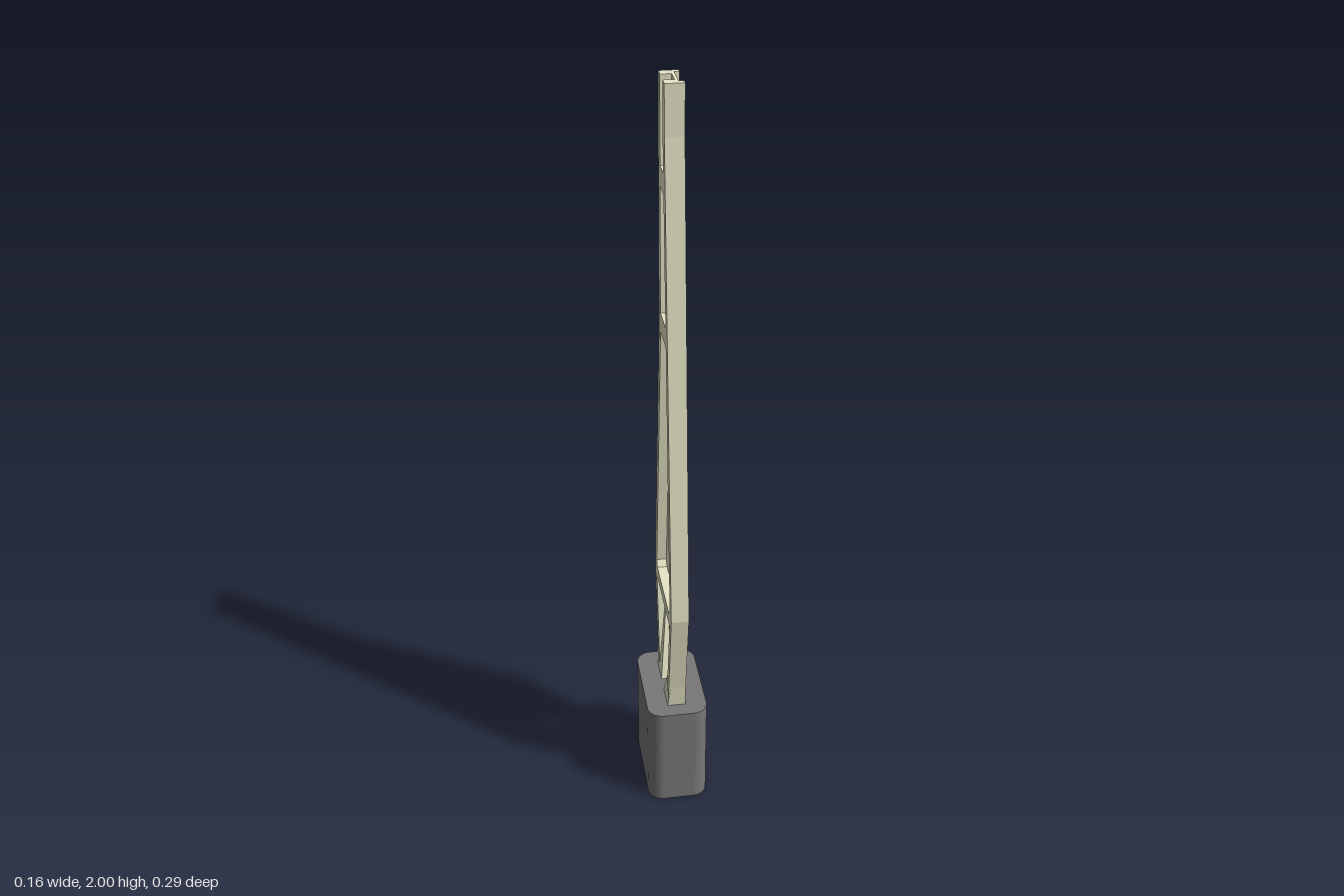
import * as THREE from 'three';

export function createModel() {
  const group = new THREE.Group();
  const cream = new THREE.MeshStandardMaterial({ color: 0xe6e6c8 });
  const grey = new THREE.MeshStandardMaterial({ color: 0x777777 });

  const add = (name, geometry, material = cream) => {
    const mesh = new THREE.Mesh(geometry, material);
    mesh.name = name;
    group.add(mesh);
  };

  // Side profile given as [z, y] points, extruded across x from x0 to x1
  const plate = (name, points, x0, x1) => {
    let pts = points.map(([z, y]) => new THREE.Vector2(z, y));
    if (THREE.ShapeUtils.isClockWise(pts)) pts = pts.reverse();
    const geo = new THREE.ExtrudeGeometry(new THREE.Shape(pts), { depth: x1 - x0, bevelEnabled: false });
    geo.rotateY(-Math.PI / 2).translate(x1, 0, 0);
    add(name, geo);
  };

  // Outer edges of the blade, bottom to top
  const front = [[0.09, 0.28], [0.094, 0.33], [0.145, 0.62], [0.045, 1.88], [0.045, 2]];
  const back = [[-0.097, 0.28], [-0.098, 0.33], [-0.145, 0.62], [-0.053, 1.37], [-0.05, 2]];
  const half = 0.023;

  // Edge flanges: slim on the +x side, wider on the -x side
  for (const [name, edge, s] of [['frontFlange', front, -1], ['backFlange', back, 1]]) {
    const band = (w) => [...edge, ...edge.map(([z, y]) => [z + s * w, y]).reverse()];
    plate(name, band(0.015), 0.005, half);
    plate(name + 'Inner', band(0.027), -half, 0.005);
  }

  // Thin web with the slot between the legs
  const slot = [[-0.011, 0.28], [-0.011, 0.53], [0.013, 0.53], [0.013, 0.28]];
  const inset = (edge, d) => edge.map(([z, y]) => [z + d, y]);
  plate('web', [...inset(front, -0.005), ...inset(back, 0.005).reverse(), ...slot], 0.003, 0.011);

  // Cross ribs in the open side, with small fillets where they meet the flanges
  plate('crossBar', [[0.13, 0.585], [0.13, 0.64], [0.118, 0.642], [0.105, 0.62], [-0.105, 0.62],
    [-0.118, 0.642], [-0.13, 0.64], [-0.13, 0.585]], -half, 0.005);
  plate('middleRib', [[0.06, 1.37], [0.06, 1.42], [-0.04, 1.42], [-0.04, 1.37]], -half, 0.005);
  plate('upperRib', [[0.04, 1.74], [0.04, 1.79], [-0.04, 1.79], [-0.04, 1.74]], -half, 0.005);

  // Tapered feet swelling from the web down into the base
  for (const s of [1, -1]) {
    const geo = new THREE.BoxGeometry(1, 1, 1);
    const p = geo.attributes.position;
    for (let i = 0; i < p.count; i++) {
      const right = p.getX(i) > 0, top = p.getY(i) > 0;
      const outer = p.getZ(i) * s > 0;
      const x = top ? (right ? 0.01 : 0.004) : (right ? 0.025 : -0.027);
      const z = top ? (outer ? 0.125 : 0.105) : (outer ? 0.09 : 0.016);
      p.setXYZ(i, x, top ? 0.57 : 0.28, z * s);
    }
    const flat = geo.toNonIndexed();
    flat.computeVertexNormals();
    add(s > 0 ? 'frontFoot' : 'backFoot', flat);
  }

  // Base block with rounded upright corners
  const w = 0.081, d = 0.139, r = 0.04;
  const outline = new THREE.Shape();
  outline.absarc(w - r, d - r, r, 0, Math.PI / 2);
  outline.absarc(-w + r, d - r, r, Math.PI / 2, Math.PI);
  outline.absarc(-w + r, -d + r, r, Math.PI, Math.PI * 1.5);
  outline.absarc(w - r, -d + r, r, Math.PI * 1.5, Math.PI * 2);
  const base = new THREE.ExtrudeGeometry(outline, { depth: 0.3, bevelEnabled: false, curveSegments: 10 });
  base.rotateX(-Math.PI / 2).translate(0, 0, -0.005);
  add('base', base, grey);

  return group;
}
